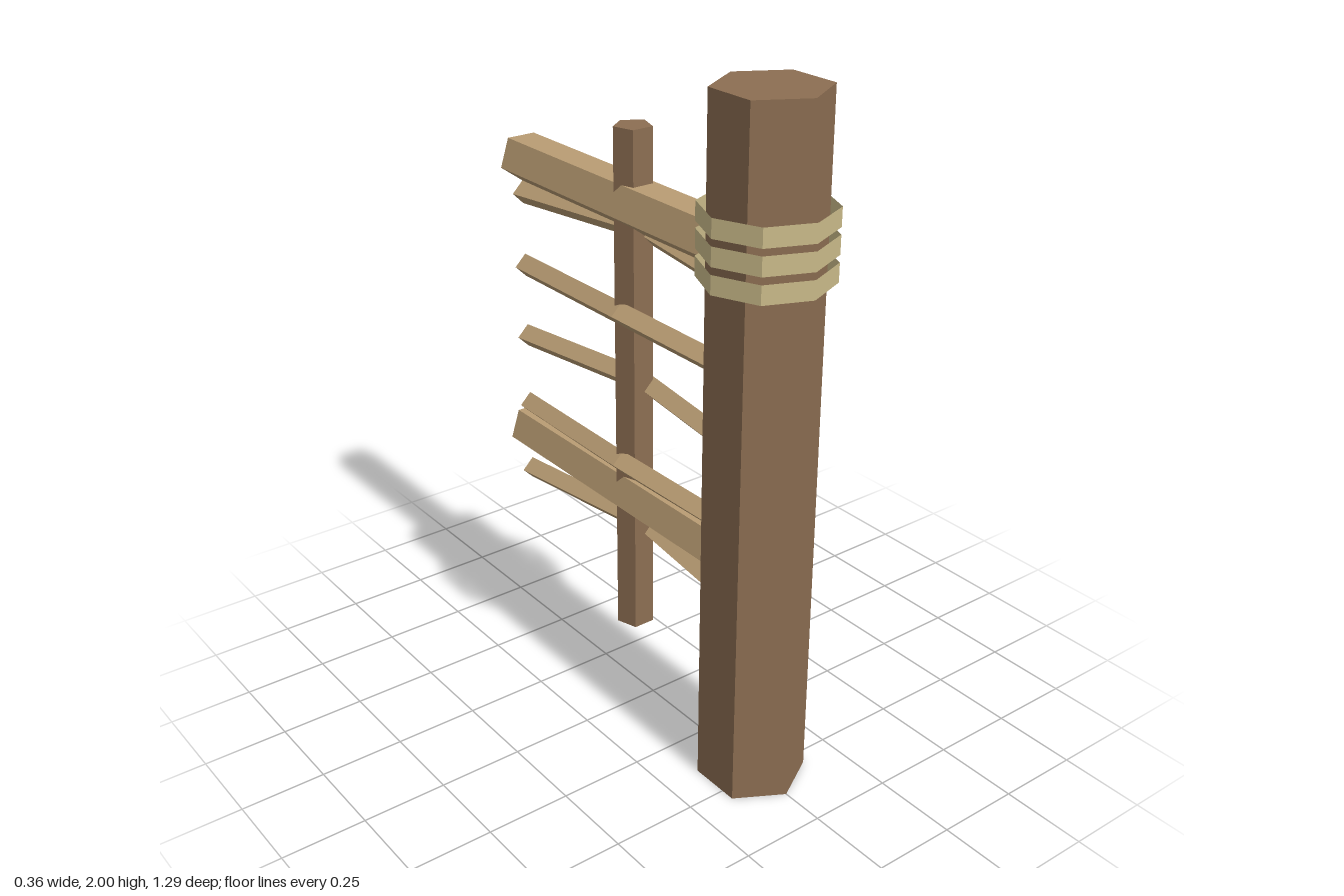
import * as THREE from 'three';

const mat = (name, color) => {
  const m = new THREE.MeshStandardMaterial({ color, flatShading: true });
  m.name = name;
  return m;
};

export function createModel() {
  const model = new THREE.Group();
  model.name = 'fenceSection';
  const darkWood = mat('darkWood', 0x8c6e52);
  const paleWood = mat('paleWood', 0xb99c73);
  const rope = mat('rope', 0xcbbb8a);
  rope.side = THREE.DoubleSide;

  const add = (name, geometry, material, x, y, z) => {
    const mesh = new THREE.Mesh(geometry, material);
    mesh.name = name;
    mesh.position.set(x, y, z);
    model.add(mesh);
  };

  const postZ = 0.465, midZ = -0.09, span = 1.11;

  // Main hexagonal post
  add('post', new THREE.CylinderGeometry(0.155, 0.155, 2, 6), darkWood, 0, 1, postZ);

  // Open rope bands around the post
  [1.68, 1.608, 1.535].forEach((y, i) => {
    add(`ropeBand${i + 1}`, new THREE.CylinderGeometry(0.18, 0.18, 0.053, 8, 1, true), rope, 0, y, postZ);
  });

  // Thin upright pole
  const pole = new THREE.CylinderGeometry(0.056, 0.056, 1.555, 5).rotateY(Math.PI);
  add('uprightPole', pole, darkWood, 0, 1.0, midZ);

  // Five-sided rails, flat side up
  const rail = new THREE.CylinderGeometry(0.077, 0.077, span, 5).rotateX(Math.PI / 2);
  add('upperRail', rail, paleWood, 0, 1.557, midZ);
  add('lowerRail', rail, paleWood, 0, 0.668, midZ);

  // Woven sticks, bent at the pole to alternating sides
  for (let i = 0; i < 5; i++) {
    const side = i % 2 ? -1 : 1;
    const stick = new THREE.CylinderGeometry(0.036, 0.036, span, 4, 2).rotateX(Math.PI / 2);
    const p = stick.attributes.position;
    for (let v = 0; v < p.count; v++) {
      const bend = 1 - Math.abs(p.getZ(v)) / (span / 2);
      p.setX(v, p.getX(v) + side * 0.042 * bend);
      p.setY(v, p.getY(v) + 0.03 * bend);
    }
    stick.computeVertexNormals();
    add(`wovenStick${i + 1}`, stick, paleWood, 0, 0.511 + 0.2335 * i, midZ);
  }
  return model;
}
